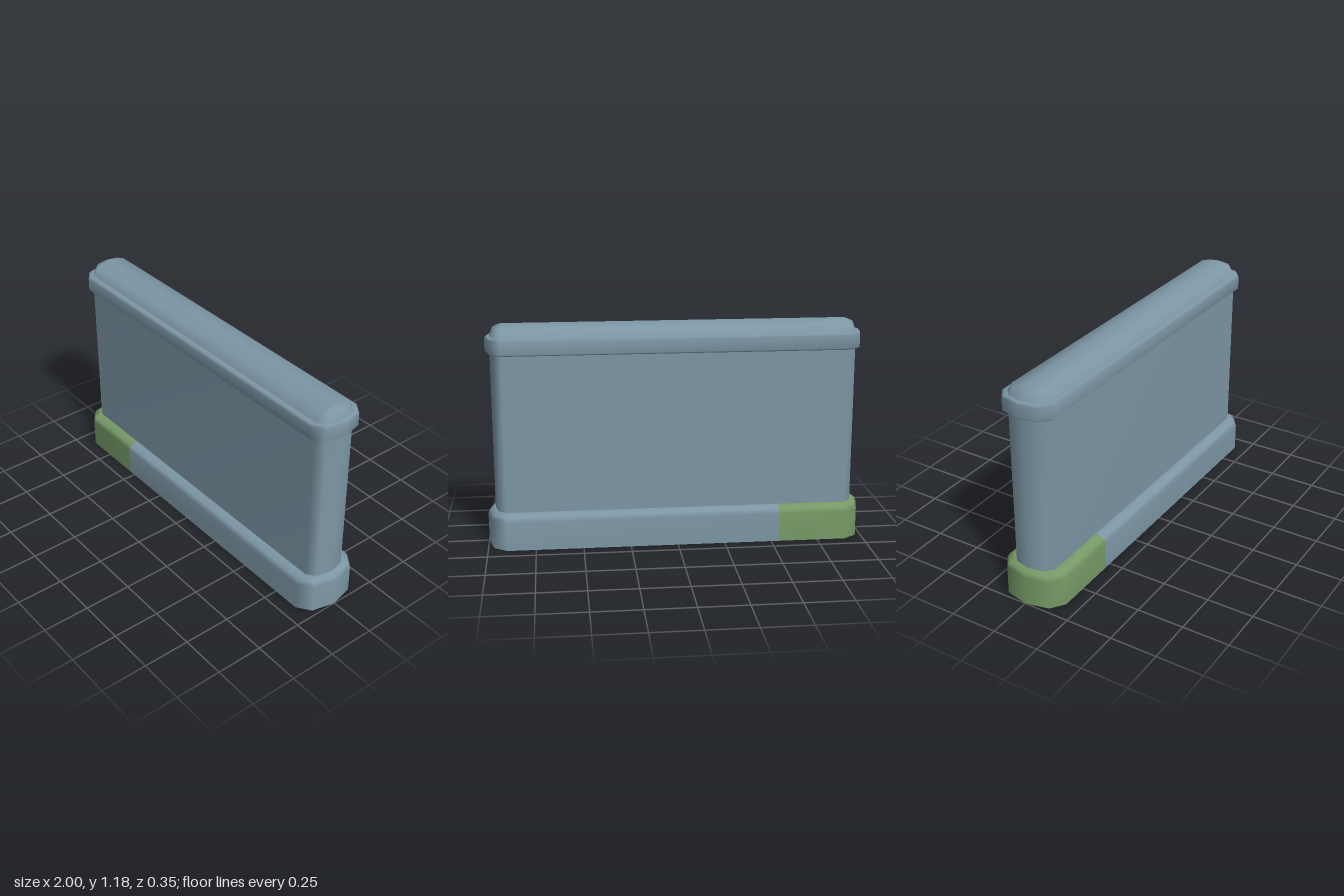
import * as THREE from 'three';
import { mergeVertices } from 'three/addons/utils/BufferGeometryUtils.js';

const HALF = 0.9;    // half length of the straight run
const STEPS = 4;     // facets on each rounded end
const CUT = -0.54;   // where the painted end of the base stops

// Rounded end on the +x (side 1) or -x (side -1) side, running counterclockwise from above
function endArc(side, [rx, rz, y]) {
  const points = [];
  for (let i = 0; i <= STEPS; i++) {
    const a = (i / STEPS) * Math.PI;
    points.push([side * (HALF + rx * Math.sin(a)), y, side * rz * Math.cos(a)]);
  }
  return points;
}

const fullRing = (r) => [...endArc(1, r), ...endArc(-1, r), endArc(1, r)[0]];

// Open ring on one side of the colour cut
const cutRing = (side) => (r) => [
  [CUT, r[2], side * r[1]], ...endArc(side, r), [CUT, r[2], -side * r[1]],
];

// Skin a stack of sections, each [end radius x, half depth z, height y]
function loft(sections, ring) {
  const rings = sections.map(ring);
  const n = rings[0].length;
  const index = [];
  for (let j = 0; j < rings.length - 1; j++) {
    for (let i = 0; i < n - 1; i++) {
      const a = j * n + i, b = a + 1, c = a + n, d = c + 1;
      index.push(a, b, d, a, d, c);
    }
  }
  const geometry = new THREE.BufferGeometry();
  geometry.setAttribute('position', new THREE.Float32BufferAttribute(rings.flat(2), 3));
  geometry.setIndex(index);
  const merged = mergeVertices(geometry);
  merged.computeVertexNormals();
  return merged;
}

export function createModel() {
  const stone = new THREE.MeshStandardMaterial({ color: 0x7d97a6, side: THREE.DoubleSide });
  stone.name = 'slate blue stone';
  const moss = new THREE.MeshStandardMaterial({ color: 0x769a66, side: THREE.DoubleSide });
  moss.name = 'moss green';

  const group = new THREE.Group();
  group.name = 'lowWall';
  const add = (name, sections, ring, material) => {
    const mesh = new THREE.Mesh(loft(sections, ring), material);
    mesh.name = name;
    group.add(mesh);
  };

  // Plinth, open underneath, with one green end
  const base = [[0.1, 0.175, 0], [0.1, 0.175, 0.155], [0.09, 0.162, 0.178], [0.07, 0.132, 0.19], [0.058, 0.115, 0.19]];
  add('base', base, cutRing(1), stone);
  add('mossyBaseEnd', base, cutRing(-1), moss);

  // Upright slab
  add('wall', [[0.06, 0.117, 0.188], [0.06, 0.117, 1.03]], fullRing, stone);

  // Overhanging coping band with small chamfers
  add('coping', [
    [0.058, 0.115, 1.027], [0.073, 0.136, 1.027], [0.085, 0.147, 1.036],
    [0.085, 0.147, 1.103], [0.075, 0.136, 1.113], [0.055, 0.11, 1.113],
  ], fullRing, stone);

  // Rounded top that closes on a ridge line
  add('ridgeTop', [[0.06, 0.114, 1.112], [0.043, 0.087, 1.157], [0, 0, 1.176]], fullRing, stone);

  return group;
}
